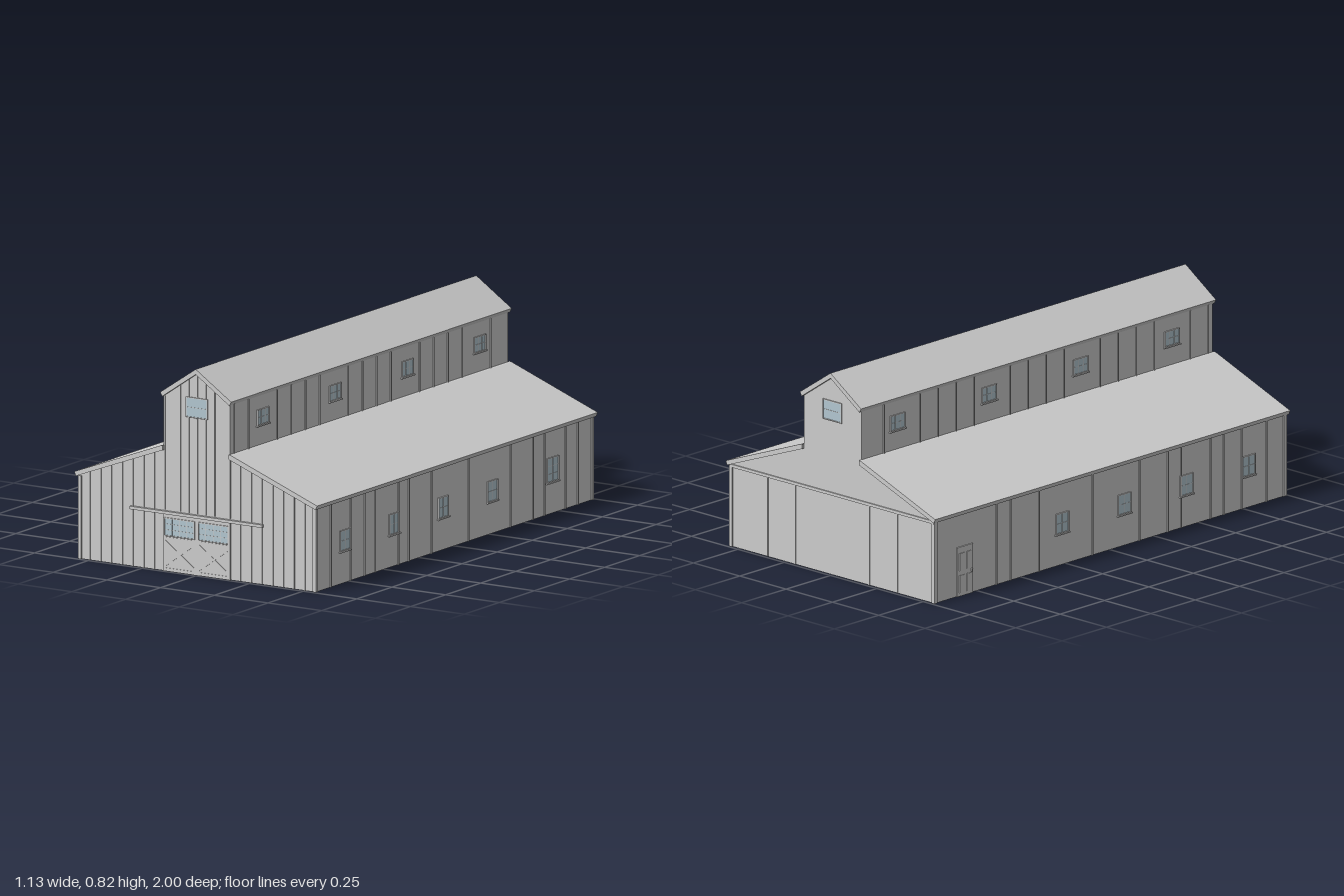
import * as THREE from 'three';

const siding = new THREE.MeshStandardMaterial({ color: 0xcccccc });
siding.name = 'pale grey siding';
const glass = new THREE.MeshStandardMaterial({ color: 0xb2c6d0 });
glass.name = 'pale blue glass';

// outline extruded along z and centred on z = 0
function prism(points, length, name) {
  const shape = new THREE.Shape(points.map(p => new THREE.Vector2(p[0], p[1])));
  const geo = new THREE.ExtrudeGeometry(shape, { depth: length, bevelEnabled: false });
  geo.translate(0, 0, -length / 2);
  const mesh = new THREE.Mesh(geo, siding);
  mesh.name = name;
  return mesh;
}

// board lying on a wall; local z points out of the wall
function board(parent, name, x, y, w, h, depth, mat = siding, turn = 0, z = 0) {
  const mesh = new THREE.Mesh(new THREE.BoxGeometry(w, h, depth), mat);
  mesh.position.set(x, y, z + depth / 2);
  mesh.rotation.z = turn;
  mesh.name = name;
  parent.add(mesh);
}

// pane with a frame, sill and glazing bars
function addWindow(parent, x, y, w, h, cols, rows, sill = true, z = 0) {
  const win = new THREE.Group();
  win.name = 'window';
  win.position.set(x, y, z);
  parent.add(win);
  const t = 0.004;
  board(win, 'glass', 0, 0, w, h, 0.002, glass);
  for (const s of [-1, 1]) {
    board(win, 'frameSide', s * w / 2, 0, t, h + t, 0.005);
    board(win, 'frameRail', 0, s * h / 2, w + t, t, 0.005);
  }
  for (let i = 1; i < cols; i++) board(win, 'glazingBar', w * (i / cols - 0.5), 0, 0.0018, h, 0.003);
  for (let i = 1; i < rows; i++) board(win, 'glazingBar', 0, h * (i / rows - 0.5), w, 0.0018, 0.003);
  if (sill) board(win, 'sill', 0, -h / 2 - 0.004, w + 0.012, 0.005, 0.008);
}

function batten(parent, x, y0, y1, w = 0.006) {
  board(parent, 'batten', x, (y0 + y1) / 2, w, y1 - y0, 0.004);
}

// height of the end wall below the roof
const wallTop = x => Math.abs(x) < 0.156
  ? 0.805 - Math.abs(x) * 0.68
  : 0.485 - (Math.abs(x) - 0.155) * 0.382;

export function createModel() {
  const barn = new THREE.Group();
  barn.name = 'barn';

  // main volume with its raised centre aisle
  const half = [[0.55, 0], [0.55, 0.334], [0.155, 0.485], [0.155, 0.7]];
  const outline = [...half, [0, 0.806], ...half.map(p => [-p[0], p[1]]).reverse()];
  barn.add(prism(outline, 1.974, 'walls'));

  // roofs
  barn.add(prism([[0, 0.804], [0.156, 0.698], [0.165, 0.714], [0, 0.825],
    [-0.165, 0.714], [-0.156, 0.698]], 2, 'upperRoof'));
  for (const s of [-1, 1]) {
    barn.add(prism([[0.154, 0.483], [0.154, 0.502], [0.165, 0.5], [0.565, 0.348], [0.558, 0.331]]
      .map(p => [p[0] * s, p[1]]), 2, 'lowerRoof'));
  }

  // front wall
  const front = new THREE.Group();
  front.name = 'frontWall';
  front.position.z = 0.987;
  barn.add(front);
  for (const s of [-1, 1]) {
    for (let i = 0; i < 7; i++) {
      const x = s * (0.2 + i * 0.05);
      batten(front, x, 0, wallTop(x));
    }
    for (const x of [0.04, 0.08]) batten(front, s * x, 0.245, wallTop(x));
    batten(front, s * 0.152, 0.245, 0.7);
  }
  addWindow(front, 0, 0.668, 0.098, 0.078, 1, 2, false, 0.003);
  batten(front, 0, 0.245, 0.625);
  batten(front, 0, 0.71, 0.805);

  // sliding doors with cross bracing and their rail
  for (const s of [-1, 1]) {
    const leaf = new THREE.Group();
    leaf.name = 'slidingDoor';
    leaf.position.set(s * 0.079, 0, 0);
    front.add(leaf);
    board(leaf, 'doorPanel', 0, 0.115, 0.156, 0.23, 0.005);
    addWindow(leaf, 0, 0.178, 0.138, 0.07, 4, 3, false, 0.005);
    for (const d of [-1, 1]) {
      board(leaf, 'doorStile', d * 0.073, 0.115, 0.01, 0.23, 0.002, siding, 0, 0.005);
      board(leaf, 'doorBrace', 0, 0.072, 0.168, 0.008, 0.002, siding, d * 0.62, 0.005);
    }
    for (const y of [0.008, 0.132]) board(leaf, 'doorRail', 0, y, 0.156, 0.012, 0.002, siding, 0, 0.005);
  }
  board(front, 'doorTrack', 0, 0.235, 0.616, 0.012, 0.013);

  // back wall
  const back = new THREE.Group();
  back.name = 'backWall';
  back.position.z = -0.987;
  back.rotation.y = Math.PI;
  barn.add(back);
  for (const x of [-0.35, -0.2, 0.2, 0.35]) batten(back, x, 0, 0.325, 0.004);
  board(back, 'crossBand', 0, 0.33, 1.1, 0.012, 0.006);
  addWindow(back, 0, 0.668, 0.098, 0.078, 1, 2, false);

  // long side walls and clerestory walls
  const sideBattens = [0.88, 0.74, 0.64, 0.565, 0.4, 0.325, 0.165, -0.1, -0.4, -0.56, -0.64, -0.79, -0.88];
  for (const s of [-1, 1]) {
    const side = new THREE.Group();
    side.name = s > 0 ? 'leftSideWall' : 'rightSideWall';
    side.position.x = s * 0.55;
    side.rotation.y = s * Math.PI / 2;
    barn.add(side);
    for (const z of sideBattens) if (s > 0 || z > -0.7) batten(side, -s * z, 0, 0.333);
    for (const z of [0.78, 0.43, 0.08, -0.27]) addWindow(side, -s * z, 0.17, 0.07, 0.08, 2, 2);
    if (s > 0) {
      addWindow(side, 0.7, 0.175, 0.08, 0.095, 2, 3);
    } else {
      // panelled side door
      board(side, 'sideDoor', -0.82, 0.1, 0.09, 0.2, 0.005);
      for (const d of [-1, 1]) {
        for (const y of [0.05, 0.14]) {
          board(side, 'doorPanel', -0.82 + d * 0.02, y, 0.028, 0.07, 0.003, siding, 0, 0.005);
        }
      }
      board(side, 'doorHandle', -0.785, 0.095, 0.006, 0.012, 0.006, siding, 0, 0.005);
    }

    const clerestory = new THREE.Group();
    clerestory.name = 'clerestoryWall';
    clerestory.position.x = s * 0.155;
    clerestory.rotation.y = s * Math.PI / 2;
    barn.add(clerestory);
    for (let i = 0; i < 19; i++) {
      const z = 0.965 - i * 0.1015;
      if (i % 5 !== 2) batten(clerestory, -s * z, 0.49, 0.7, 0.005);
    }
    for (const z of [0.76, 0.245, -0.27, -0.785]) addWindow(clerestory, -s * z, 0.612, 0.08, 0.06, 3, 2);

    // corner trim
    for (const d of [-1, 1]) {
      const post = new THREE.Mesh(new THREE.BoxGeometry(0.016, 0.332, 0.016), siding);
      post.position.set(s * 0.546, 0.166, d * 0.984);
      post.name = 'cornerPost';
      barn.add(post);
    }
  }
  return barn;
}
